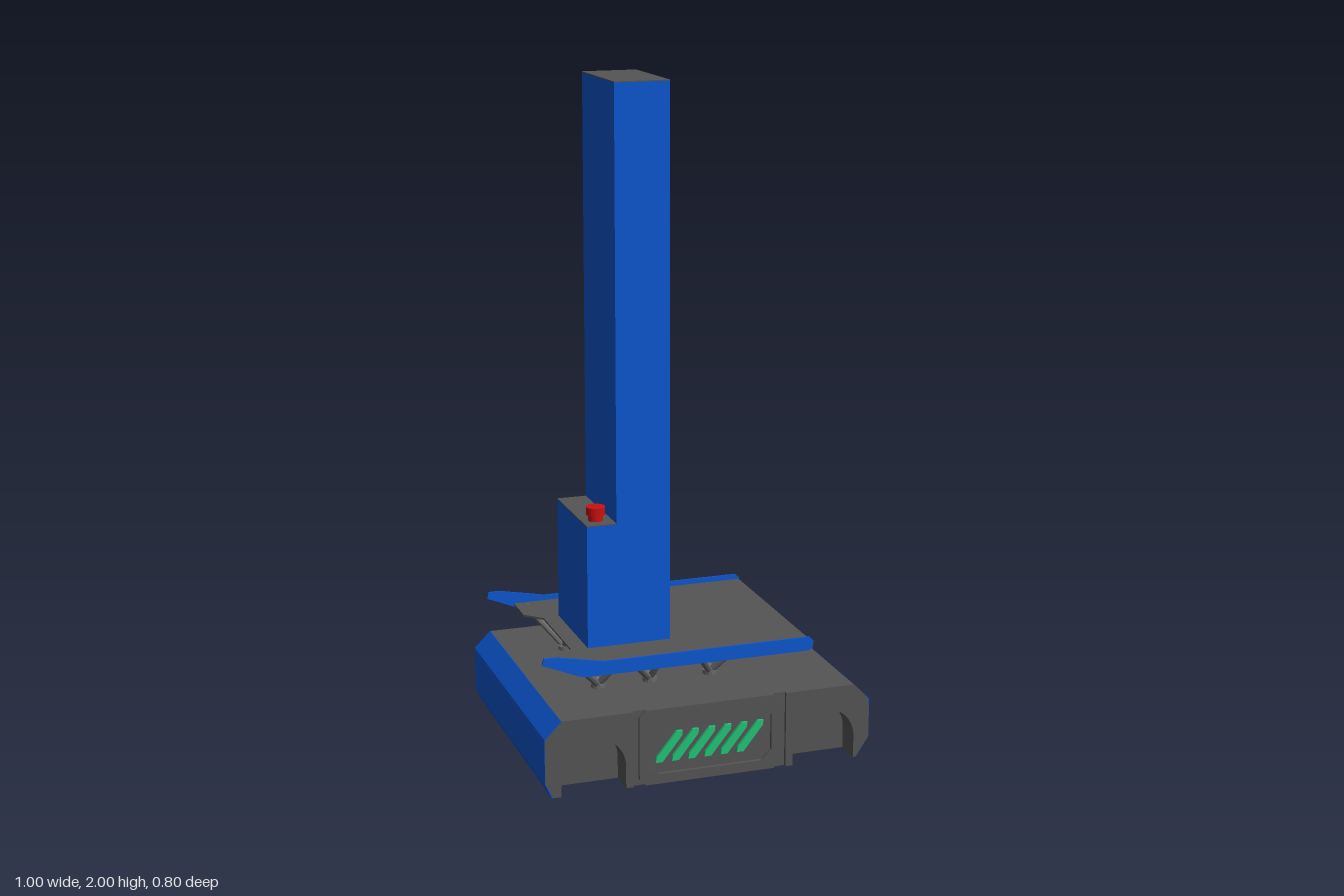
import * as THREE from 'three';

const mat = (color) => new THREE.MeshStandardMaterial({ color, flatShading: true });

export function createModel() {
  const model = new THREE.Group();
  const dark = mat(0x555555), blue = mat(0x0d56d0), red = mat(0xcc1010);
  const green = mat(0x22c578), steel = mat(0x686868);

  const add = (name, geometry, material, x = 0, y = 0, z = 0) => {
    const mesh = new THREE.Mesh(geometry, material);
    mesh.name = name;
    mesh.position.set(x, y, z);
    model.add(mesh);
    return mesh;
  };
  const poly = (pts) => new THREE.Shape(pts.map(([x, y]) => new THREE.Vector2(x, y)));
  // slab of a side outline between two depths
  const slab = (name, shape, z0, z1, material) =>
    add(name, new THREE.ExtrudeGeometry(shape, { depth: z1 - z0, bevelEnabled: false, curveSegments: 16 }),
      material, 0, 0, z0);
  const bothSides = (name, shape, near, far, material) => {
    slab(name, shape, near, far, material);
    slab(name, shape, -far, -near, material);
  };
  const box = (name, x0, x1, y0, y1, z0, z1, material) =>
    add(name, new THREE.BoxGeometry(x1 - x0, y1 - y0, z1 - z0), material,
      (x0 + x1) / 2, (y0 + y1) / 2, (z0 + z1) / 2);

  // base: solid core, then side layers with wheel arches
  const leftEnd = [[-0.45, 0.23], [-0.5, 0.18], [-0.5, 0.045], [-0.48, 0]];
  const rightEnd = [[0.46, 0], [0.5, 0.06], [0.5, 0.18], [0.45, 0.23]];
  const core = poly([...leftEnd, ...rightEnd]);
  slab('baseCore', core, -0.32, 0.32, dark);

  const arch = (s, cx) => {
    s.lineTo(cx - 0.097, 0);
    s.lineTo(cx - 0.097, 0.067);
    s.absarc(cx, 0.067, 0.097, Math.PI, 0, true);
    s.lineTo(cx + 0.097, 0);
  };
  const arched = poly(leftEnd);
  arch(arched, -0.355);
  arch(arched, 0.355);
  rightEnd.forEach(([x, y]) => arched.lineTo(x, y));
  bothSides('wheelArchWall', arched, 0.32, 0.39, dark);

  const leftSkin = poly(leftEnd);
  arch(leftSkin, -0.355);
  leftSkin.lineTo(-0.235, 0);
  leftSkin.lineTo(-0.235, 0.23);
  const rightSkin = poly([[0.235, 0.23], [0.235, 0]]);
  arch(rightSkin, 0.355);
  rightEnd.forEach(([x, y]) => rightSkin.lineTo(x, y));
  bothSides('cornerSkin', leftSkin, 0.39, 0.4, dark);
  bothSides('cornerSkin', rightSkin, 0.39, 0.4, dark);

  // framed side panel with slanted vents
  const octagon = (w, y0, y1, c) => [[-w + c, y0], [w - c, y0], [w, y0 + c], [w, y1 - c],
    [w - c, y1], [-w + c, y1], [-w, y1 - c], [-w, y0 + c]];
  const frame = poly(octagon(0.217, 0, 0.23, 0.02));
  frame.holes.push(poly(octagon(0.19, 0.03, 0.2, 0.03)));
  bothSides('sidePanelFrame', frame, 0.39, 0.4, dark);
  for (const side of [0, Math.PI]) {
    const vents = new THREE.Group();
    vents.name = 'vents';
    vents.rotation.y = side;
    for (let i = 0; i < 6; i++) {
      const bar = new THREE.Mesh(new THREE.ExtrudeGeometry(
        poly([[-0.043, -0.045], [-0.022, -0.045], [0.038, 0.03], [0.04, 0.045], [0.022, 0.045], [-0.04, -0.03]]),
        { depth: 0.01, bevelEnabled: false }), green);
      bar.name = 'ventSlot';
      bar.position.set((i - 2.5) * 0.05, 0.11, 0.389);
      vents.add(bar);
    }
    model.add(vents);
  }

  // coloured end bumpers wrapped over the end faces
  const shell = (end) => poly([...end.map(([x, y]) => [x * 1.001, y]),
    ...[...end].reverse().map(([x, y]) => [x * 0.994, y])]);
  slab('endBumper', shell(leftEnd), -0.4, 0.4, blue);
  slab('endBumper', shell(rightEnd), -0.4, 0.4, blue);

  // turret under the tray
  add('turretBase', new THREE.CylinderGeometry(0.046, 0.046, 0.042, 24), dark, -0.005, 0.251, 0);
  add('turretCap', new THREE.CylinderGeometry(0.041, 0.041, 0.034, 24), dark, -0.005, 0.288, 0);

  // struts fanning up from each foot
  const strut = (a, b) => {
    const from = new THREE.Vector3(...a), to = new THREE.Vector3(...b);
    const dir = to.clone().sub(from);
    const m = add('strut', new THREE.CylinderGeometry(0.01, 0.01, dir.length(), 8), steel);
    m.position.copy(from).add(to).multiplyScalar(0.5);
    m.quaternion.setFromUnitVectors(new THREE.Vector3(0, 1, 0), dir.normalize());
  };
  for (const s of [-1, 1]) {
    for (const [x, l, r] of [[-0.27, -0.36, -0.21], [-0.11, -0.2, -0.08], [0.08, 0, 0.16]]) {
      const foot = [x, 0.235, s * 0.17];
      strut(foot, [l, 0.34, s * 0.29]);
      strut(foot, [r, 0.34, s * 0.23]);
      strut(foot, [(l + r) / 2, 0.34, s * 0.1]);
      add('strutFoot', new THREE.CylinderGeometry(0.022, 0.022, 0.012, 12), steel, x, 0.236, s * 0.17);
    }
  }

  // tray plate, notched at one end
  const tray = poly([[0.352, -0.31], [0.352, 0.31], [-0.395, 0.31], [-0.395, 0.195],
    [-0.345, 0.145], [-0.345, -0.145], [-0.395, -0.195], [-0.395, -0.31]]);
  const plate = new THREE.ExtrudeGeometry(tray, { depth: 0.006, bevelEnabled: false });
  plate.rotateX(-Math.PI / 2);
  add('trayPlate', plate, dark, 0, 0.34, 0);

  // tray rails with an upswept end
  const rail = poly([[-0.37, 0.325], [-0.35, 0.32], [0.34, 0.32], [0.354, 0.33], [0.354, 0.35],
    [0.342, 0.362], [-0.295, 0.362], [-0.44, 0.39], [-0.475, 0.39], [-0.48, 0.37]]);
  bothSides('trayRail', rail, 0.308, 0.314, blue);

  // mast and control box with dark lids
  box('mast', -0.205, -0.04, 0.345, 1.997, -0.153, 0.153, blue);
  box('mastLid', -0.205, -0.04, 1.997, 2, -0.153, 0.153, dark);
  box('controlBox', -0.295, -0.205, 0.345, 0.717, -0.153, 0.153, blue);
  box('controlBoxLid', -0.295, -0.205, 0.717, 0.72, -0.153, 0.153, dark);

  // stop button
  add('buttonStem', new THREE.CylinderGeometry(0.022, 0.022, 0.02, 24), red, -0.252, 0.73, 0.1);
  add('buttonHead', new THREE.CylinderGeometry(0.028, 0.028, 0.024, 24), red, -0.252, 0.75, 0.1);

  return model;
}
